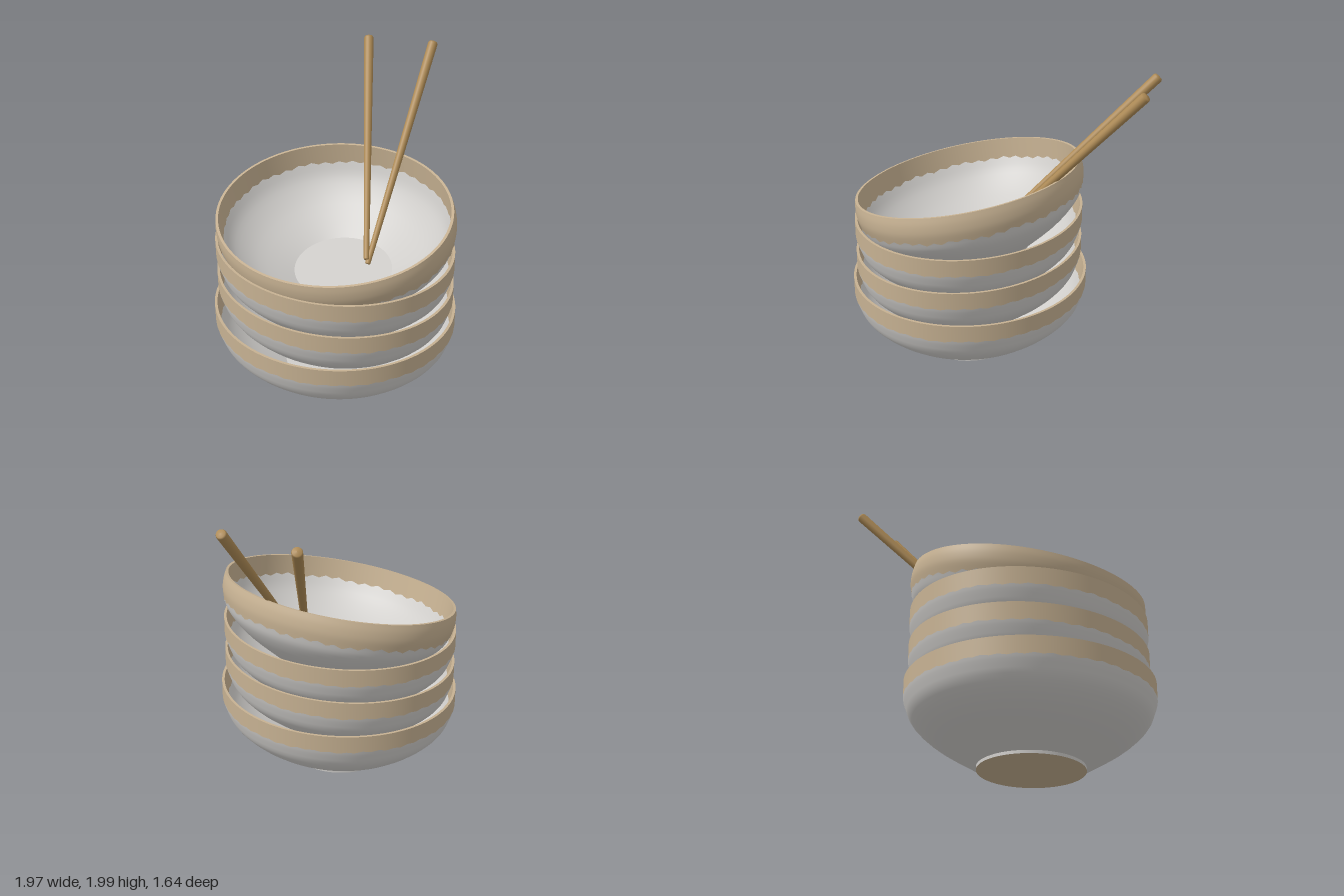
import * as THREE from 'three';

const glaze = new THREE.MeshStandardMaterial({ color: 0xcfcdca });
glaze.name = 'paleGlaze';
const clay = new THREE.MeshStandardMaterial({ color: 0xc6b192 });
clay.name = 'tanClay';
const wood = new THREE.MeshStandardMaterial({ color: 0xad8a55 });
wood.name = 'wood';

const SEGMENTS = 192;

// Turned surface; the row at wavyRow ('first' or 'last') gets a rippled glaze edge.
function turned(name, points, material, { smooth = false, wavyRow = null, ripple = 0 } = {}) {
  let profile = points.map(([r, y]) => new THREE.Vector2(r, y));
  if (smooth) profile = new THREE.SplineCurve(profile).getPoints(12);
  const geometry = new THREE.LatheGeometry(profile, SEGMENTS);
  if (wavyRow) {
    const row = wavyRow === 'first' ? 0 : profile.length - 1;
    const position = geometry.attributes.position;
    for (let i = 0; i <= SEGMENTS; i++) {
      const a = (i / SEGMENTS) * Math.PI * 2;
      const k = i * profile.length + row;
      const wave = Math.cos(48 * a) * 0.7 + Math.sin(13 * a) * 0.4;
      position.setY(k, position.getY(k) + ripple * wave);
    }
  }
  const mesh = new THREE.Mesh(geometry, material);
  mesh.name = name;
  return mesh;
}

// One bowl: foot, glazed body, bare clay band over the rim, glazed inside.
function bowl(name, body, band, ripple) {
  const group = new THREE.Group();
  group.name = name;
  const edge = band[0];
  const rim = band[band.length - 1];
  const innerRim = [rim[0] - 0.018, rim[1]];
  const innerEdge = [0.782, 0.41];
  group.add(
    turned('footUnderside', [[0, 0], [0.35, 0]], clay),
    turned('footRing', [[0.35, 0], [0.35, 0.02]], glaze),
    turned('outerBody', [...body, edge], glaze, { smooth: true, wavyRow: 'last', ripple }),
    turned('outerBand', band, clay, { smooth: band.length > 2, wavyRow: 'first', ripple }),
    turned('rimEdge', [rim, innerRim], clay),
    turned('innerBand', [innerRim, innerEdge], clay, { wavyRow: 'last', ripple: 0.012 }),
    turned('innerWall', [innerEdge, [0.72, 0.31], [0.58, 0.19], [0.345, 0.06]], glaze,
      { smooth: true, wavyRow: 'first', ripple: 0.012 }),
    turned('innerFloor', [[0.345, 0.06], [0, 0.06]], glaze),
  );
  return group;
}

// Tapered stick with a slightly rounded top, from tip to top.
function chopstick(name, tip, top) {
  const a = new THREE.Vector3(...tip);
  const b = new THREE.Vector3(...top);
  const length = a.distanceTo(b);
  const profile = [[0, 0], [0.014, 0], [0.018, 0.006], [0.033, length - 0.012],
    [0.028, length], [0, length + 0.004]].map(([r, y]) => new THREE.Vector2(r, y));
  const mesh = new THREE.Mesh(new THREE.LatheGeometry(profile, 20), wood);
  mesh.name = name;
  mesh.position.copy(a);
  mesh.quaternion.setFromUnitVectors(new THREE.Vector3(0, 1, 0), b.sub(a).normalize());
  return mesh;
}

export function createModel() {
  const model = new THREE.Group();
  model.name = 'bowlStackWithChopsticks';

  // Three upright nested bowls
  const uprightBody = [[0.35, 0.02], [0.62, 0.18], [0.76, 0.3], [0.805, 0.39]];
  const uprightBand = [[0.82, 0.437], [0.82, 0.55]];
  [['bottomBowl', 0, 0.945], ['secondBowl', 0.225, 0.878], ['thirdBowl', 0.455, 0.878]]
    .forEach(([name, y, squash]) => {
      const b = bowl(name, uprightBody, uprightBand, 0.006);
      b.position.set(-0.22, y, 0);
      b.scale.x = squash;
      model.add(b);
    });

  // Tilted bowl on top, with a rounder lip and a deeper band
  const topBowl = bowl('topBowl', [[0.35, 0.02], [0.62, 0.18], [0.76, 0.3]],
    [[0.805, 0.38], [0.82, 0.44], [0.82, 0.5], [0.81, 0.55]], 0.012);
  topBowl.position.set(-0.126, 0.69, 0);
  topBowl.rotation.z = 0.187;
  topBowl.scale.x = 0.877;
  model.add(topBowl);

  // Chopsticks resting on the raised side of the rim
  model.add(
    chopstick('frontChopstick', [-0.05, 0.8, 0.14], [0.958, 1.975, -0.18]),
    chopstick('backChopstick', [-0.05, 0.83, 0.13], [0.8, 1.943, -0.625]),
  );
  return model;
}
